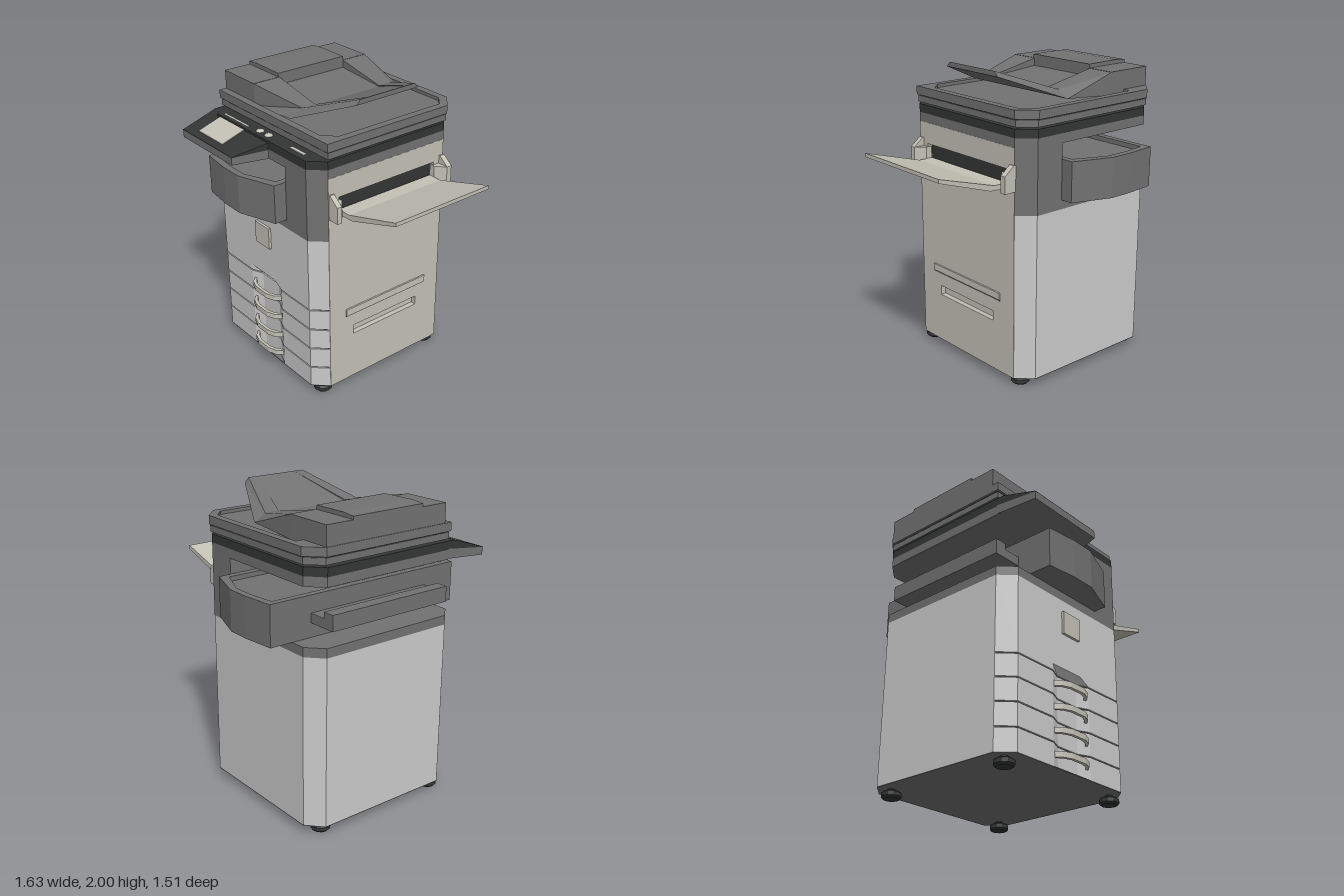
import * as THREE from 'three';

const mat = (color) => new THREE.MeshStandardMaterial({ color, flatShading: true, side: THREE.DoubleSide });
const LIGHT = mat(0xcccccc), GREY = mat(0x727272), BLACK = mat(0x343636), BEIGE = mat(0xc4c2b6), SEAM = mat(0x555555);

export function createModel() {
  const group = new THREE.Group();

  const add = (name, geometry, material) => {
    const mesh = new THREE.Mesh(geometry, material);
    mesh.name = name;
    group.add(mesh);
    return mesh;
  };
  const box = (name, x0, x1, y0, y1, z0, z1, material) => {
    const g = new THREE.BoxGeometry(x1 - x0, y1 - y0, z1 - z0);
    g.translate((x0 + x1) / 2, (y0 + y1) / 2, (z0 + z1) / 2);
    return add(name, g, material);
  };
  const vectors = (pts, flip) => pts.map(([a, b]) => new THREE.Vector2(flip ? -a : a, flip ? b : -b));

  // Plan outline [x, z] raised from y0 to y1; heights may be functions of z
  const slab = (name, pts, y0, y1, material, hole) => {
    const shape = new THREE.Shape(vectors(pts, false));
    if (hole) shape.holes.push(new THREE.Path(vectors(hole, false)));
    const g = new THREE.ExtrudeGeometry(shape, { depth: 1, bevelEnabled: false });
    g.rotateX(-Math.PI / 2);
    const p = g.attributes.position;
    const at = (h, z) => (typeof h === 'function' ? h(z) : h);
    for (let i = 0; i < p.count; i++) {
      const z = p.getZ(i), t = p.getY(i);
      p.setY(i, at(y0, z) * (1 - t) + at(y1, z) * t);
    }
    g.computeVertexNormals();
    return add(name, g, material);
  };
  // Front profile [x, y] carried from z0 to z1
  const profile = (name, pts, z0, z1, material) => {
    const shape = new THREE.Shape(pts.map(([x, y]) => new THREE.Vector2(x, y)));
    const g = new THREE.ExtrudeGeometry(shape, { depth: z1 - z0, bevelEnabled: false });
    g.translate(0, 0, z0);
    return add(name, g, material);
  };
  const rect = (z0, z1, y0, y1) => [[z0, y0], [z1, y0], [z1, y1], [z0, y1]];

  const foot = [[-0.81, 0.45], [-0.72, 0.545], [0.23, 0.545], [0.32, 0.45],
    [0.32, -0.49], [0.22, -0.585], [-0.71, -0.585], [-0.81, -0.49]];

  // Cabinet core
  slab('cabinet', [[-0.81, 0.45], [0.28, 0.45], [0.28, -0.49], [0.32, -0.49],
    [0.22, -0.585], [-0.71, -0.585], [-0.81, -0.49]], 0.065, 1.16, LIGHT);
  slab('cabinetUnderside', foot, 0.06, 0.066, GREY);

  // Front door and drawers, scooped behind the handles
  const front = (d, scoop) => [[-0.81 + d, 0.45], [-0.72 + d / 2, 0.545 - d],
    ...(scoop ? [[-0.41, 0.545 - d], [-0.33, 0.51 - d], [-0.15, 0.51 - d], [-0.07, 0.545 - d]] : []),
    [0.23 - d / 2, 0.545 - d], [0.32 - d, 0.45]];
  slab('frontDoor', front(0, false), 0.7, 1.16, LIGHT);
  const grip = slab('doorGrip', front(0, true), 0.66, 0.7, LIGHT).geometry;
  const gp = grip.attributes.position;
  for (let i = 0; i < gp.count; i++) {
    if (gp.getY(i) > 0.69 && gp.getZ(i) > 0.5 && Math.abs(gp.getX(i) + 0.24) < 0.1) gp.setZ(i, 0.545);
  }
  grip.computeVertexNormals();
  const seams = [0.066, 0.21, 0.36, 0.508, 0.656];
  for (let i = 0; i < 4; i++) {
    const y0 = seams[i], y1 = seams[i + 1];
    slab('drawer', front(0, true), y0 + (i ? 0.004 : 0), y1 - 0.004, LIGHT);
    slab('drawerSeam', front(0.012, true), y1 - 0.004, y1 + 0.004, SEAM);
    const h = 0.142 + i * 0.147;
    slab('drawerHandle', [[-0.4, 0.53], [-0.36, 0.575], [-0.3, 0.598], [-0.18, 0.598], [-0.12, 0.575], [-0.08, 0.53],
      [-0.1, 0.53], [-0.14, 0.56], [-0.19, 0.577], [-0.29, 0.577], [-0.34, 0.56], [-0.38, 0.53]],
      h - 0.018, h + 0.018, BEIGE);
  }
  box('doorPlate', -0.318, -0.165, 0.93, 1.08, 0.54, 0.562, BEIGE);

  // Right side panel with recesses
  const panel = new THREE.Shape(vectors(rect(0.45, -0.49, 0.06, 1.58), true));
  for (const r of [rect(0.255, -0.29, 0.4, 0.465), rect(0.37, -0.41, 1.31, 1.44)]) {
    panel.holes.push(new THREE.Path(vectors(r, true)));
  }
  const panelGeo = new THREE.ExtrudeGeometry(panel, { depth: 0.04, bevelEnabled: false });
  panelGeo.rotateY(Math.PI / 2);
  panelGeo.translate(0.281, 0, 0);
  add('sidePanel', panelGeo, BEIGE);
  box('sideGripBack', 0.27, 0.286, 0.39, 0.475, -0.3, 0.265, BEIGE);
  box('bypassSlotBack', 0.27, 0.286, 1.3, 1.45, -0.42, 0.38, BLACK);
  box('sideGripBar', 0.31, 0.332, 0.567, 0.612, -0.36, 0.32, BEIGE);
  box('sideGripShadow', 0.31, 0.326, 0.556, 0.567, -0.36, 0.32, SEAM);

  // Bypass tray and its hinges
  profile('bypassTray', [[0.3, 1.31], [0.43, 1.315], [0.815, 1.44], [0.815, 1.465], [0.4, 1.345], [0.3, 1.345]],
    -0.4, 0.355, BEIGE);
  for (const [outer, inner] of [[0.445, 0.36], [-0.495, -0.4]]) {
    const mid = outer * 0.6 + inner * 0.4;
    slab('bypassHinge', [[0.3, outer], [0.4, outer], [0.4, mid], [0.34, inner], [0.3, inner]], 1.31, 1.42, BEIGE);
    profile('bypassHingeTop', [[0.3, 1.42], [0.4, 1.42], [0.33, 1.475], [0.3, 1.475]],
      Math.min(outer, mid), Math.max(outer, mid), BEIGE);
  }

  // Middle section: base, right pillar and top frame round the open output bay
  const inset = [[0.32, 0.45], [0.28, 0.45], [0.28, -0.49], [0.32, -0.49], [0.22, -0.585]];
  slab('bayFloor', [[-0.81, 0.45], [-0.72, 0.545], [0.23, 0.545], ...inset, [-0.71, -0.585], [-0.81, -0.49]], 1.16, 1.22, GREY);
  slab('rightPillar', [[0.02, 0.545], [0.23, 0.545], ...inset, [0.02, -0.585]], 1.22, 1.58, GREY);
  slab('topFrame', foot, 1.58, 1.64, GREY);
  slab('topFrameBand', foot, 1.64, 1.695, BLACK);

  // Output unit passing through the bay, with a rimmed top
  const unit = (d) => [[-0.61 + d, 0.695 - d], [-0.4, 0.72 - d], [-0.24, 0.72 - d], [0.02 - d, 0.63 - d],
    [0.02 - d, -0.67 + d], [-0.24, -0.76 + d], [-0.4, -0.76 + d], [-0.61 + d, -0.74 + d]];
  slab('outputUnit', unit(0), 1.22, 1.45, GREY);
  slab('outputUnitRim', unit(0), 1.45, 1.48, GREY, unit(0.045));
  profile('leftOutputTray', [[-0.81, 1.31], [-0.6, 1.31], [-0.6, 1.37], [-0.73, 1.37], [-0.73, 1.41], [-0.81, 1.41]],
    -0.45, 0.45, GREY);

  // Sloped control console
  const top = (z) => 1.695 - Math.max(0, z - 0.5) * 0.325;
  const mid = (z) => 1.64 - (z - 0.5) * 0.125;
  const low = (z) => 1.58 - (z - 0.5) * 0.08;
  const wing = [[-0.81, 0.44], [-0.81, 0.5], [-0.81, 0.755], [-0.24, 0.755], [-0.15, 0.545], [-0.131, 0.5], [-0.131, 0.44]];
  slab('consoleBase', wing, low, mid, GREY);
  // Two pieces keep the flat and the sloped part clean
  slab('consoleTop', wing.slice(1, 6), mid, top, BLACK);
  slab('consoleTopBack', [wing[0], wing[1], wing[5], wing[6]], 1.63, 1.695, BLACK);
  slab('screen', [[-0.685, 0.503], [-0.685, 0.71], [-0.41, 0.71], [-0.41, 0.503]],
    (z) => top(z) - 0.01, (z) => top(z) + 0.004, BEIGE);
  for (const x of [-0.305, -0.215]) {
    const knob = add('knob', new THREE.SphereGeometry(0.028, 16, 8, 0, Math.PI * 2, 0, Math.PI / 2), BEIGE);
    knob.scale.y = 0.6;
    knob.position.set(x, 1.693, 0.493);
  }
  box('indicator', 0.015, 0.16, 1.69, 1.699, 0.48, 0.505, BEIGE);

  // Scanner and lid
  const lid = (d) => [[-0.815 + d, 0.46 - d], [0.333 - d, 0.46 - d], [0.333 - d, -0.5], [0.225, -0.6 + d],
    [-0.715, -0.6 + d], [-0.815 + d, -0.5]];
  slab('scannerBase', lid(0.008), 1.709, 1.75, GREY);
  slab('scannerSeam', lid(0.014), 1.75, 1.757, BLACK);
  slab('scannerLid', lid(0), 1.757, 1.79, GREY);
  slab('scannerLidRim', lid(0), 1.79, 1.812, GREY,
    [[-0.6, 0.41], [0.2, 0.41], [0.28, 0.33], [0.28, -0.48], [0.2, -0.55], [-0.6, -0.55]]);

  // Document feeder body and cover
  box('feederBody', -0.81, -0.48, 1.79, 1.937, -0.5, 0.41, GREY);
  profile('feederCover', [[-0.81, 1.93], [-0.48, 1.93], [-0.48, 1.962], [-0.72, 1.965], [-0.81, 1.957]], -0.31, 0.22, GREY);

  // Feeder tray: sections [x, yBottom, yTop, yChannel, bottom z, top z, channel z] front then back
  const sections = [
    [-0.48, 1.79, 1.935, 1.885, 0.41, -0.5, 0.41, -0.5, 0.21, -0.31],
    [-0.11, 1.815, 1.862, 1.855, 0.4, -0.49, 0.31, -0.41, 0.21, -0.31],
    [0.28, 1.968, 2.0, 2.0, 0.2, -0.29, 0.17, -0.26, 0.1, -0.19],
  ].map(([x, b, t, c, bf, bb, tf, tb, cf, cb]) => [
    [x, b, bf], [x, t, tf], [x, t, cf], [x, c, cf], [x, c, cb], [x, t, cb], [x, t, tb], [x, b, bb]]);
  const tris = [];
  for (let s = 0; s < 2; s++) {
    for (let i = 0; i < 8; i++) {
      const j = (i + 1) % 8;
      const a = sections[s][i], b = sections[s + 1][i], c = sections[s + 1][j], d = sections[s][j];
      tris.push(...a, ...b, ...c, ...a, ...c, ...d);
    }
  }
  const end = sections[2];
  for (let i = 1; i < 7; i++) tris.push(...end[0], ...end[i + 1], ...end[i]);
  const tray = new THREE.BufferGeometry();
  tray.setAttribute('position', new THREE.Float32BufferAttribute(tris, 3));
  tray.computeVertexNormals();
  add('feederTray', tray, GREY);

  // Levelling feet
  for (const x of [-0.72, 0.235]) {
    for (const z of [0.45, -0.46]) {
      const pts = [[0, 0], [0.05, 0], [0.062, 0.012], [0.062, 0.036], [0.05, 0.046], [0.025, 0.048], [0.025, 0.064]];
      const lathe = new THREE.LatheGeometry(pts.map(([r, y]) => new THREE.Vector2(r, y)), 12);
      add('foot', lathe, BLACK).position.set(x, 0, z);
    }
  }
  return group;
}
